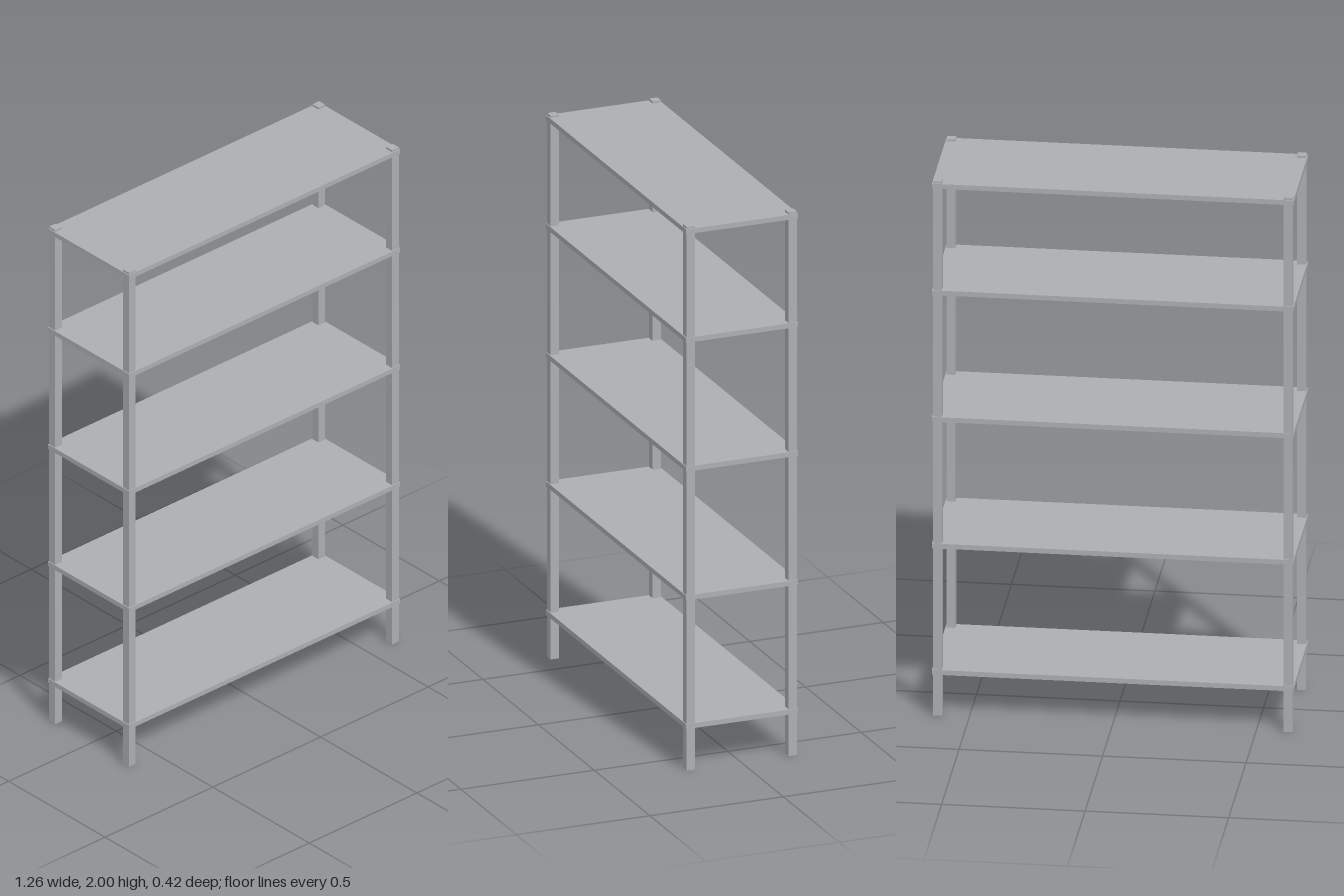
import * as THREE from 'three';

export function createModel() {
  const model = new THREE.Group();
  model.name = 'shelvingUnit';
  const greyMetal = new THREE.MeshStandardMaterial({ color: 0xacaeb2 });
  greyMetal.name = 'grey metal';

  const addBox = (name, w, h, d, x, y, z) => {
    const mesh = new THREE.Mesh(new THREE.BoxGeometry(w, h, d), greyMetal);
    mesh.name = name;
    mesh.position.set(x, y, z);
    model.add(mesh);
  };

  // Four square posts, rising slightly above the top shelf
  for (const [side, x] of [['Left', 0.611], ['Right', -0.611]]) {
    for (const [end, z] of [['front', 0.191], ['back', -0.191]]) {
      addBox(`${end}${side}Post`, 0.031, 2, 0.031, x, 1, z);
    }
  }

  // Five thin shelves, the top bay shorter than the rest
  [0.163, 0.636, 1.11, 1.584, 1.983].forEach((y, i) => {
    addBox(`shelf${i + 1}`, 1.26, 0.018, 0.42, 0, y, 0);
  });

  return model;
}
